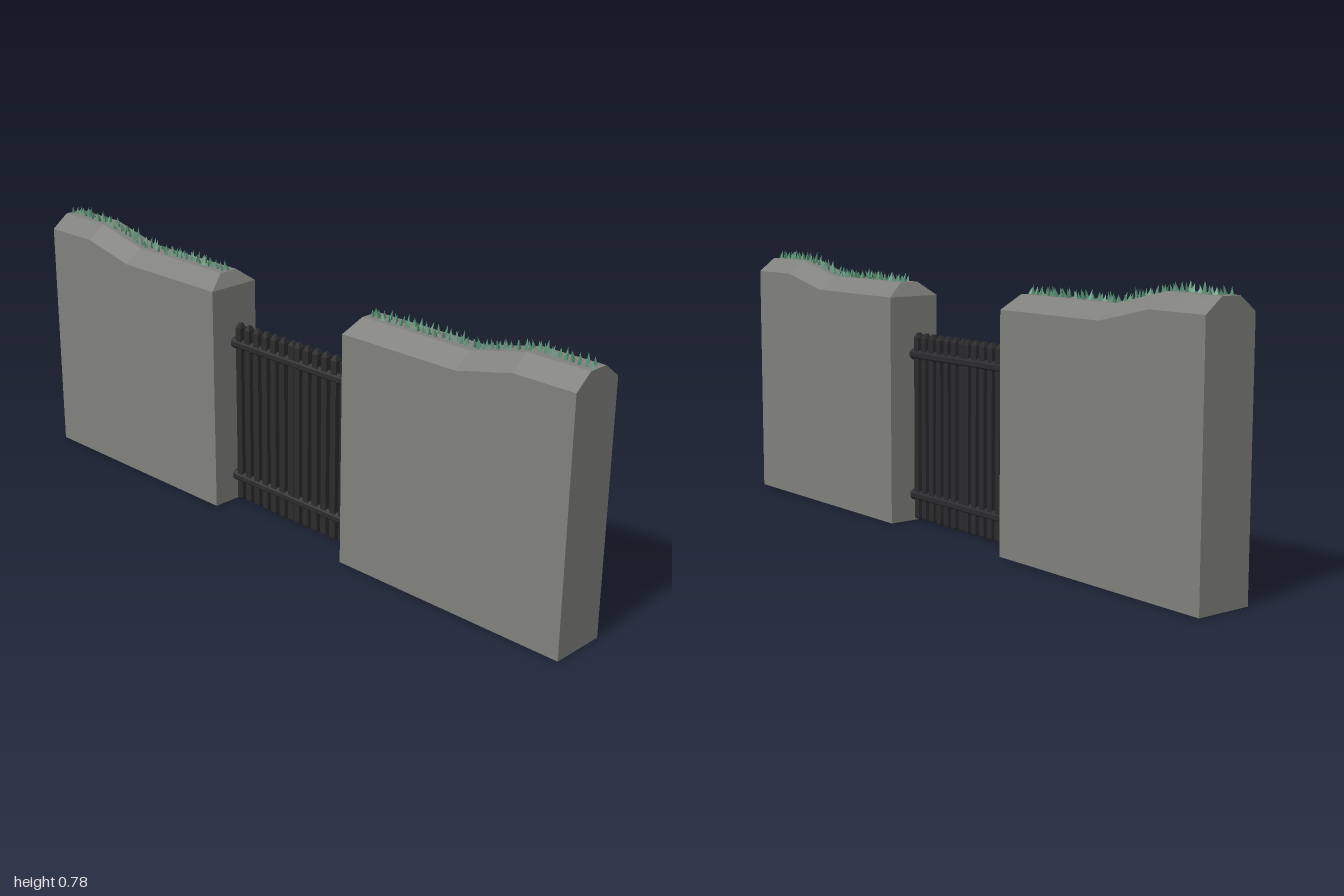
import * as THREE from 'three';
import { mergeGeometries } from 'three/addons/utils/BufferGeometryUtils.js';

const stone = new THREE.MeshStandardMaterial({ name: 'grey stone', color: 0x80807c });
const iron = new THREE.MeshStandardMaterial({ name: 'dark iron', color: 0x2b2b2d });
const leaf = new THREE.MeshStandardMaterial({ name: 'grass green', color: 0x5c9678 });

const DEPTH = 0.083, RIDGE = 0.03;
// wall stations from gate to outer end: shoulder x, ridge x, shoulder y, ridge y
const STATIONS = [
  [0.255, 0.277, 0.67, 0.71],
  [0.64, 0.64, 0.67, 0.71],
  [0.815, 0.815, 0.71, 0.75],
  [1, 1, 0.71, 0.75],
];

function seeded(seed) {
  let s = seed;
  return () => (s = (s * 16807) % 2147483647) / 2147483647;
}

// Solid wall with a chamfered coping, lofted through the stations
function wallGeometry(side) {
  let st = STATIONS.map(([a, b, c, d]) => [a * side, b * side, c, d]);
  if (side < 0) st = st.reverse();
  const loops = st.map(([xs, xr, ys, yr]) => [
    [xs, 0, DEPTH], [xs, ys, DEPTH], [xr, yr, RIDGE],
    [xr, yr, -RIDGE], [xs, ys, -DEPTH], [xs, 0, -DEPTH],
  ]);
  const pos = [];
  const quad = (a, b, c, d) => pos.push(...a, ...b, ...c, ...a, ...c, ...d);
  for (let k = 0; k < loops.length - 1; k++) {
    const A = loops[k], B = loops[k + 1];
    for (let i = 0; i < 6; i++) {
      const j = (i + 1) % 6;
      quad(A[i], B[i], B[j], A[j]);
    }
  }
  const S = loops[0], E = loops[loops.length - 1];
  quad(E[0], E[5], E[4], E[1]);
  quad(E[1], E[4], E[3], E[2]);
  quad(S[1], S[4], S[5], S[0]);
  quad(S[2], S[3], S[4], S[1]);
  const g = new THREE.BufferGeometry();
  g.setAttribute('position', new THREE.Float32BufferAttribute(pos, 3));
  g.computeVertexNormals();
  return g;
}

function ridgeHeight(x) {
  return 0.71 + 0.04 * THREE.MathUtils.clamp((x - 0.64) / 0.175, 0, 1);
}

// Small three-sided blades scattered along the ridge
function grassGeometry(side, seed) {
  const rnd = seeded(seed), blades = [], count = 72;
  for (let i = 0; i < count; i++) {
    const x = 0.284 + (0.708 * i) / (count - 1);
    const h = 0.018 + rnd() * 0.013;
    const z = (i % 2 ? 1 : -1) * (0.003 + rnd() * 0.012);
    const g = new THREE.ConeGeometry(0.0065, h, 3, 1, true).toNonIndexed();
    g.translate(0, h / 2, 0);
    g.rotateY(rnd() * Math.PI * 2);
    g.rotateX((rnd() - 0.5) * 0.7);
    g.rotateZ((rnd() - 0.5) * 0.25);
    g.translate(side * x, ridgeHeight(x) - 0.001, z);
    g.computeVertexNormals();
    blades.push(g);
  }
  return mergeGeometries(blades);
}

// Square picket with chamfered top and bottom
function picketGeometry() {
  const w = 0.0105, d = 0.0118, y0 = 0.01, y1 = 0.565, c = 0.014;
  const g = new THREE.BoxGeometry(2 * w, 1, 2 * d, 1, 3, 1).toNonIndexed();
  const p = g.attributes.position;
  const levels = [y0, y0 + c * 0.4, y1 - c, y1];
  const taper = [0.75, 1, 1, 0.4];
  for (let i = 0; i < p.count; i++) {
    const k = Math.round((p.getY(i) + 0.5) * 3);
    p.setXYZ(i, p.getX(i) * taper[k], levels[k], p.getZ(i) * taper[k]);
  }
  g.computeVertexNormals();
  return g;
}

// Octagonal rail running across the gap
function railGeometry() {
  const g = new THREE.CylinderGeometry(0.0168, 0.0168, 0.51, 8).toNonIndexed();
  g.rotateY(Math.PI / 8);
  g.rotateZ(Math.PI / 2);
  g.computeVertexNormals();
  return g;
}

export function createModel() {
  const model = new THREE.Group();
  model.name = 'walledGate';
  const add = (parent, geometry, material, name) => {
    const mesh = new THREE.Mesh(geometry, material);
    mesh.name = name;
    parent.add(mesh);
    return mesh;
  };

  // walls and grass
  for (const [side, name, seed] of [[1, 'left', 4217], [-1, 'right', 9131]]) {
    add(model, wallGeometry(side), stone, name + 'Wall');
    add(model, grassGeometry(side, seed), leaf, name + 'Grass');
  }

  // gate: pickets and rails
  const gate = new THREE.Group();
  gate.name = 'gate';
  model.add(gate);
  const picket = picketGeometry(), rail = railGeometry();
  for (const side of [1, -1]) {
    for (let k = 0; k < 7; k++) {
      add(gate, picket, iron, 'picket').position.x = side * (0.0115 + 0.0359 * k);
    }
  }
  for (const y of [0.08, 0.5]) add(gate, rail, iron, 'rail').position.y = y;

  return model;
}
